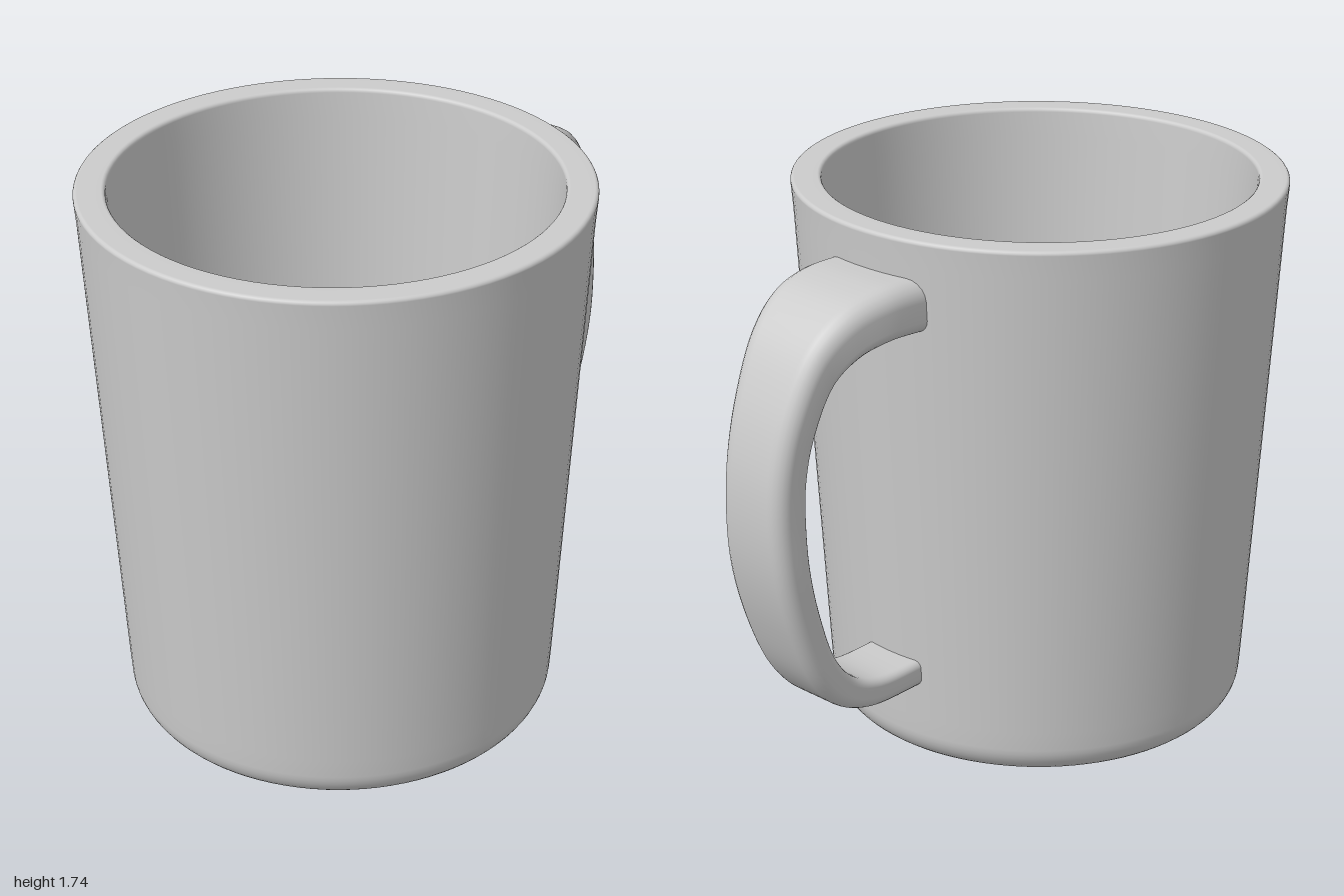
import * as THREE from 'three';

const material = new THREE.MeshStandardMaterial({ color: 0xcccccc, roughness: 0.6 });

// Points of an arc in the lathe profile, angles in degrees
function arc(cx, cy, r, from, to, steps) {
  return Array.from({ length: steps + 1 }, (_, i) => {
    const a = THREE.MathUtils.degToRad(from + (to - from) * i / steps);
    return new THREE.Vector2(cx + r * Math.cos(a), cy + r * Math.sin(a));
  });
}

// Tapered cup: rounded foot, outer wall, softened rim, inner wall and floor
function createCup() {
  const p = (x, y) => new THREE.Vector2(x, y);
  const profile = [
    p(0, 0), p(0.54, 0),
    ...arc(0.555, 0.105, 0.105, -90, -3, 10),
    p(0.664, 0.16), p(0.747, 1.65),
    ...arc(0.741, 1.723, 0.012, -3, 90, 4),
    ...arc(0.672, 1.723, 0.012, 90, 183, 4),
    p(0.656, 1.65), p(0.581, 0.24),
    ...arc(0.498, 0.18, 0.08, -3, -90, 8),
    p(0.48, 0.1), p(0, 0.1),
  ];
  const cup = new THREE.Mesh(new THREE.LatheGeometry(profile, 96), material);
  cup.name = 'cup';
  cup.position.x = -0.247;
  return cup;
}

// Handle: rounded rectangles lofted between an outer and an inner edge curve
function createHandle() {
  // outer x, outer y, inner x, inner y, half width
  const stations = [
    [0.44, 1.615, 0.44, 1.455, 0.195],
    [0.60, 1.615, 0.60, 1.46, 0.19],
    [0.73, 1.585, 0.70, 1.435, 0.173],
    [0.84, 1.50, 0.78, 1.37, 0.15],
    [0.93, 1.34, 0.845, 1.22, 0.132],
    [0.98, 1.17, 0.868, 1.10, 0.124],
    [0.995, 1.00, 0.872, 0.98, 0.123],
    [0.98, 0.82, 0.865, 0.83, 0.126],
    [0.93, 0.63, 0.83, 0.67, 0.124],
    [0.85, 0.45, 0.765, 0.50, 0.118],
    [0.75, 0.335, 0.68, 0.405, 0.112],
    [0.62, 0.277, 0.58, 0.365, 0.11],
    [0.38, 0.268, 0.38, 0.358, 0.11],
  ];
  const outer = new THREE.CatmullRomCurve3(stations.map(s => new THREE.Vector3(s[0], s[1], s[4])));
  const inner = new THREE.CatmullRomCurve3(stations.map(s => new THREE.Vector3(s[2], s[3], 0)));
  const rings = 72, cornerSteps = 5, around = 4 * (cornerSteps + 1);
  const corners = [[1, 1], [-1, 1], [-1, -1], [1, -1]];
  const positions = [], indices = [];

  for (let i = 0; i <= rings; i++) {
    const o = outer.getPoint(i / rings), n = inner.getPoint(i / rings);
    const halfWidth = o.z;
    const thickness = Math.hypot(o.x - n.x, o.y - n.y);
    corners.forEach(([su, sv], k) => {
      const r = thickness * (su > 0 ? 0.38 : 0.25);
      for (let j = 0; j <= cornerSteps; j++) {
        const a = (k + j / cornerSteps) * Math.PI / 2;
        const u = su * (thickness / 2 - r) + r * Math.cos(a);
        const v = sv * (halfWidth - r) + r * Math.sin(a);
        const t = u / thickness + 0.5;
        positions.push(n.x + (o.x - n.x) * t, n.y + (o.y - n.y) * t, v);
      }
    });
  }
  for (let i = 0; i < rings; i++) {
    for (let j = 0; j < around; j++) {
      const a = i * around + j, b = i * around + (j + 1) % around;
      indices.push(a, b, a + around, b, b + around, a + around);
    }
  }
  const geometry = new THREE.BufferGeometry();
  geometry.setAttribute('position', new THREE.Float32BufferAttribute(positions, 3));
  geometry.setIndex(indices);
  geometry.computeVertexNormals();
  const handle = new THREE.Mesh(geometry, material);
  handle.name = 'handle';
  handle.position.z = -0.008;
  return handle;
}

export function createModel() {
  const mug = new THREE.Group();
  mug.name = 'mug';
  mug.add(createCup(), createHandle());
  return mug;
}
